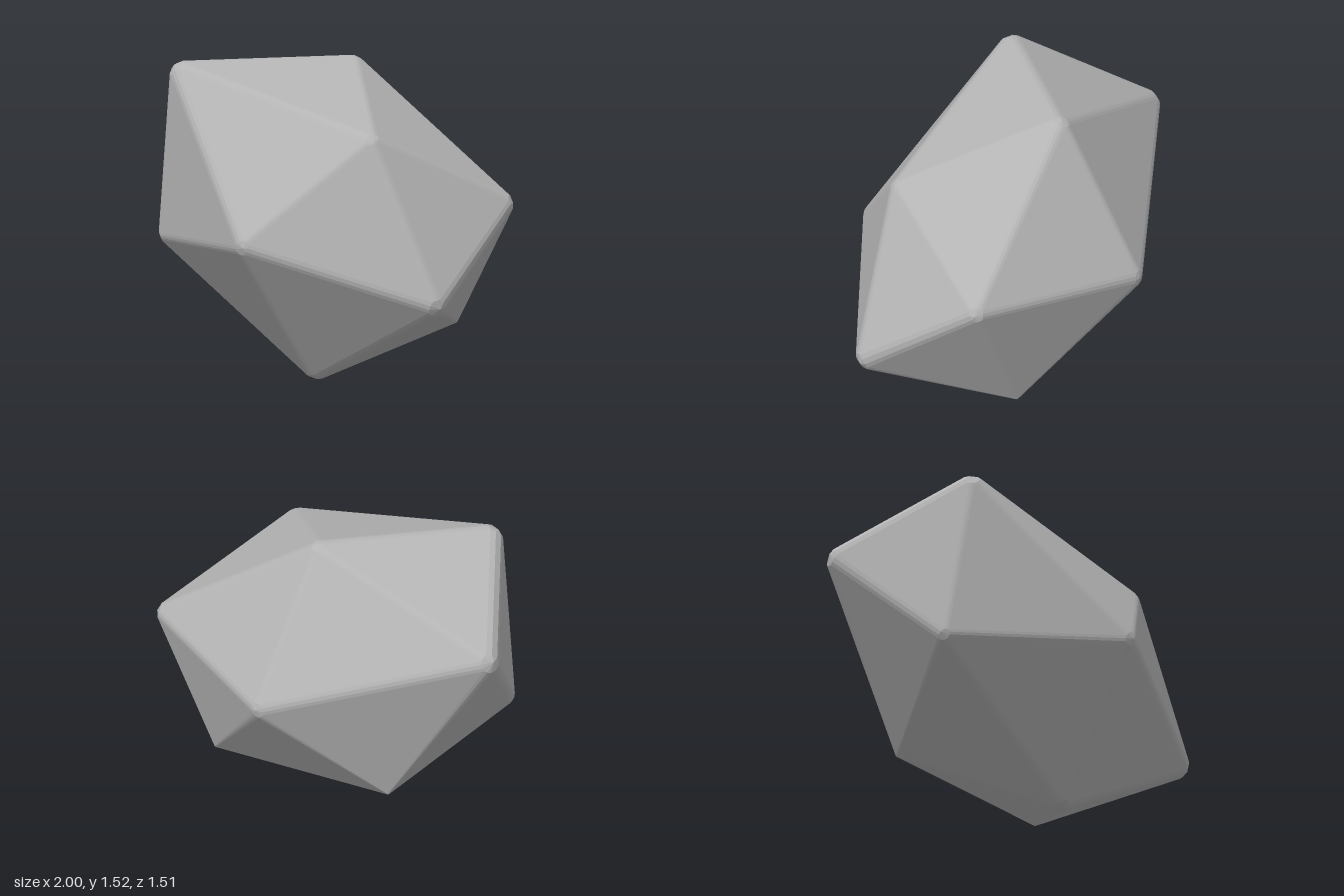
import * as THREE from 'three';
import { ConvexGeometry } from 'three/addons/geometries/ConvexGeometry.js';

// Corners of an uneven twenty-sided rock: x, y, z and rounding radius
const CORNERS = {
  A: [-0.55, 1.49, 0.44, 0.07],
  B: [-0.02, 1.51, -0.28, 0.07],
  C: [0.63, 1.24, 0.25, 0.07],
  D: [0.22, 0.72, 0.755, 0.07],
  E: [-0.69, 0.63, 0.4, 0.06],
  F: [-1.0, 1.14, -0.09, 0.07],
  G: [0.89, 0.87, -0.45, 0.06],
  H: [1.0, 0.44, 0.17, 0.07],
  I: [0.21, 0.0, 0.22, 0.07],
  J: [-0.46, 0.27, -0.26, 0.012],
  K: [-0.03, 0.78, -0.755, 0.07],
  L: [0.53, 0.24, -0.43, 0.015],
};

// Neighbours of each corner, in order around it
const RINGS = {
  A: 'BCDEF', B: 'ACGKF', C: 'ABGHD', D: 'ACHIE', E: 'ADIJF', F: 'AEJKB',
  G: 'BCHLK', H: 'CDILG', I: 'DEJLH', J: 'EFKLI', K: 'BFJLG', L: 'GHIJK',
};

const CENTRE = new THREE.Vector3(0, 0.755, 0);
const position = (name) => new THREE.Vector3().fromArray(CORNERS[name]);

// Outward normal of the flat face between three corners
function faceNormal(a, b, c) {
  const p = position(a);
  const n = position(b).sub(p).cross(position(c).sub(p)).normalize();
  return n.dot(p.sub(CENTRE)) < 0 ? n.negate() : n;
}

// Points of one rounded corner: face normals, with the edge arcs cut in three
function roundedCorner(name) {
  const r = CORNERS[name][3];
  const tip = position(name);
  const outward = tip.clone().sub(CENTRE).normalize();
  const core = tip.addScaledVector(outward, -r);
  const ring = RINGS[name];
  const normals = [...ring].map((k, i) => faceNormal(name, k, ring[(i + 1) % ring.length]));
  const points = [core.clone().addScaledVector(outward, r)];
  normals.forEach((n, i) => {
    const next = normals[(i + 1) % normals.length];
    for (const t of [0, 1 / 3, 2 / 3]) {
      const dir = n.clone().lerp(next, t).normalize();
      points.push(core.clone().addScaledVector(dir, r));
    }
  });
  return points;
}

export function createModel() {
  const model = new THREE.Group();
  model.name = 'rock';

  const stone = new THREE.MeshStandardMaterial({ color: 0xb4b4b4 });
  stone.name = 'grey stone';

  // Flat faces and bevelled edges are spanned between the rounded corners
  const geometry = new ConvexGeometry(Object.keys(CORNERS).flatMap(roundedCorner));
  geometry.computeBoundingBox();
  const { min, max } = geometry.boundingBox;
  geometry.translate(-(min.x + max.x) / 2, -min.y, -(min.z + max.z) / 2);

  const boulder = new THREE.Mesh(geometry, stone);
  boulder.name = 'boulder';
  model.add(boulder);
  return model;
}
